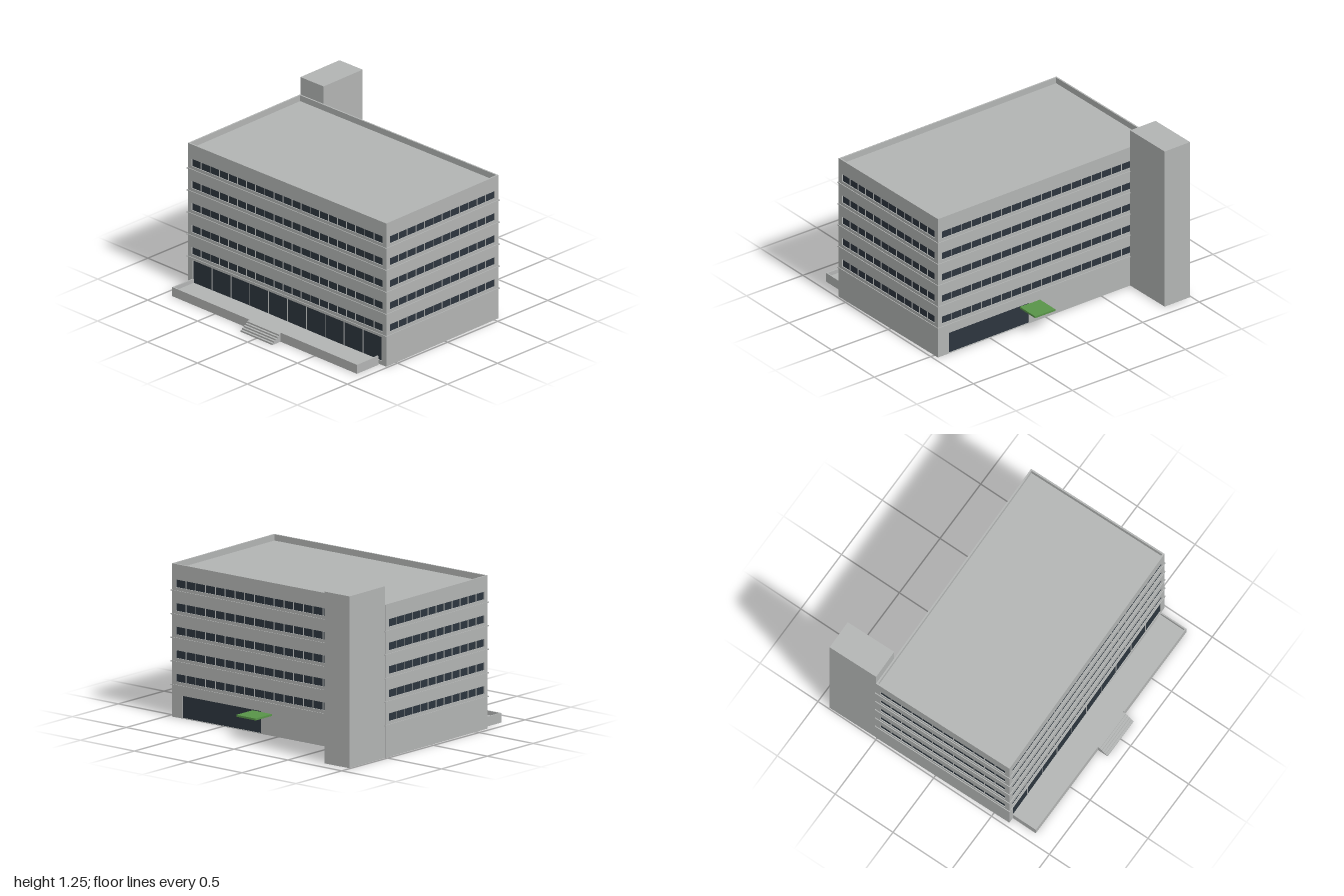
import * as THREE from 'three';

const mat = (name, color, side = THREE.FrontSide) => {
  const m = new THREE.MeshStandardMaterial({ color, side });
  m.name = name;
  return m;
};

export function createModel() {
  const concrete = mat('concrete grey', 0xb2b4b3);
  const glass = mat('dark glass', 0x2c353e, THREE.DoubleSide);
  const green = mat('canopy green', 0x589448);

  const model = new THREE.Group();
  model.name = 'officeBlock';

  // Box given by its minimum and maximum corners
  const box = (parent, name, m, x0, x1, y0, y1, z0, z1) => {
    const mesh = new THREE.Mesh(new THREE.BoxGeometry(x1 - x0, y1 - y0, z1 - z0), m);
    mesh.position.set((x0 + x1) / 2, (y0 + y1) / 2, (z0 + z1) / 2);
    mesh.name = name;
    parent.add(mesh);
    return mesh;
  };

  // Main block, turned slightly
  const block = new THREE.Group();
  block.name = 'mainBlock';
  block.position.x = -0.045;
  block.rotation.y = 0.017;
  model.add(block);

  const HW = 0.57, HD = 0.977, H = 1.115, T = 0.012;
  const storey = 0.1715, firstLedge = 0.234;

  // One facade: pierced wall, recessed glass bands, mullions and ledges
  const facade = (name, half, distance, turn, bandHalf, panes, ground) => {
    const g = new THREE.Group();
    g.name = name;
    g.rotation.y = turn;
    g.position.set(Math.sin(turn) * distance, 0, Math.cos(turn) * distance);
    block.add(g);

    const openings = [];
    for (let i = 0; i < 5; i++) {
      const y = 0.26 + i * storey;
      openings.push({ u0: -bandHalf, u1: bandHalf, y0: y, y1: y + 0.057, panes });
      box(g, 'ledge', concrete, -half - 0.006, half + 0.006,
        firstLedge + i * storey - 0.004, firstLedge + i * storey + 0.004, -0.004, 0.006);
    }
    if (ground) openings.push(ground);

    const shape = new THREE.Shape();
    shape.moveTo(-half, 0).lineTo(half, 0).lineTo(half, H).lineTo(-half, H).closePath();
    for (const { u0, u1, y0, y1, panes: n } of openings) {
      const hole = new THREE.Path();
      hole.moveTo(u0, y0).lineTo(u0, y1).lineTo(u1, y1).lineTo(u1, y0).closePath();
      shape.holes.push(hole);
      const pane = new THREE.Mesh(new THREE.PlaneGeometry(u1 - u0, y1 - y0), glass);
      pane.position.set((u0 + u1) / 2, (y0 + y1) / 2, -0.007);
      pane.name = 'windowGlass';
      g.add(pane);
      for (let k = 1; k < n; k++) {
        const u = u0 + (u1 - u0) * k / n;
        box(g, 'mullion', concrete, u - 0.0025, u + 0.0025, y0, y1, -0.006, -0.002);
      }
    }
    const geo = new THREE.ExtrudeGeometry(shape, { depth: T, bevelEnabled: false });
    geo.translate(0, 0, -T);
    const wall = new THREE.Mesh(geo, concrete);
    wall.name = 'wall';
    g.add(wall);
  };

  facade('frontFacade', HW, HD, 0, 0.532, 12);
  facade('backFacade', HW, HD, Math.PI, 0.532, 12);
  // Entrance glazing on one long side, ground floor glazing on the other
  facade('leftFacade', HD - T, HW, Math.PI / 2, 0.94, 21,
    { u0: -0.88, u1: -0.16, y0: 0.004, y1: 0.165, panes: 1 });
  facade('rightFacade', HD - T, HW, -Math.PI / 2, 0.94, 21,
    { u0: -0.93, u1: 0.93, y0: 0.03, y1: 0.215, panes: 10 });

  // Roof sunk behind the parapet
  box(block, 'roof', concrete, -HW + T, HW - T, 1.06, 1.07, -HD + T, HD - T);

  // Stair tower
  box(block, 'stairTower', concrete, HW, 0.967, 0, 1.25, -0.975, -0.747);

  // Entrance canopy
  box(model, 'entranceCanopy', green, 0.525, 0.705, 0.145, 0.159, 0.052, 0.23);

  // Terrace: deck, end walls and an outer wall with a gap at the steps
  const terrace = new THREE.Group();
  terrace.name = 'terrace';
  model.add(terrace);
  const X0 = -0.83, X1 = -0.615, Z = 0.925, top = 0.07, gap = 0.16;
  box(terrace, 'terraceDeck', concrete, X0 + 0.01, X1, 0.03, 0.04, -Z + 0.01, Z - 0.01);
  for (const s of [-1, 1]) {
    const span = (a, b) => [Math.min(s * a, s * b), Math.max(s * a, s * b)];
    box(terrace, 'terraceEndWall', concrete, X0 + 0.01, X1, 0, top, ...span(Z - 0.01, Z));
    box(terrace, 'terraceOuterWall', concrete, X0, X0 + 0.01, 0, top, ...span(gap, Z));
  }
  box(terrace, 'terraceThreshold', concrete, X0, X0 + 0.01, 0, 0.055, -gap, gap);

  // Steps, each a slim slab reaching back to the terrace
  const steps = 5;
  for (let i = 0; i < steps; i++) {
    box(terrace, 'step', concrete, -0.912 + i * 0.0165, X0, i * 0.012, (i + 1) * 0.012, -gap, gap);
  }

  return model;
}
